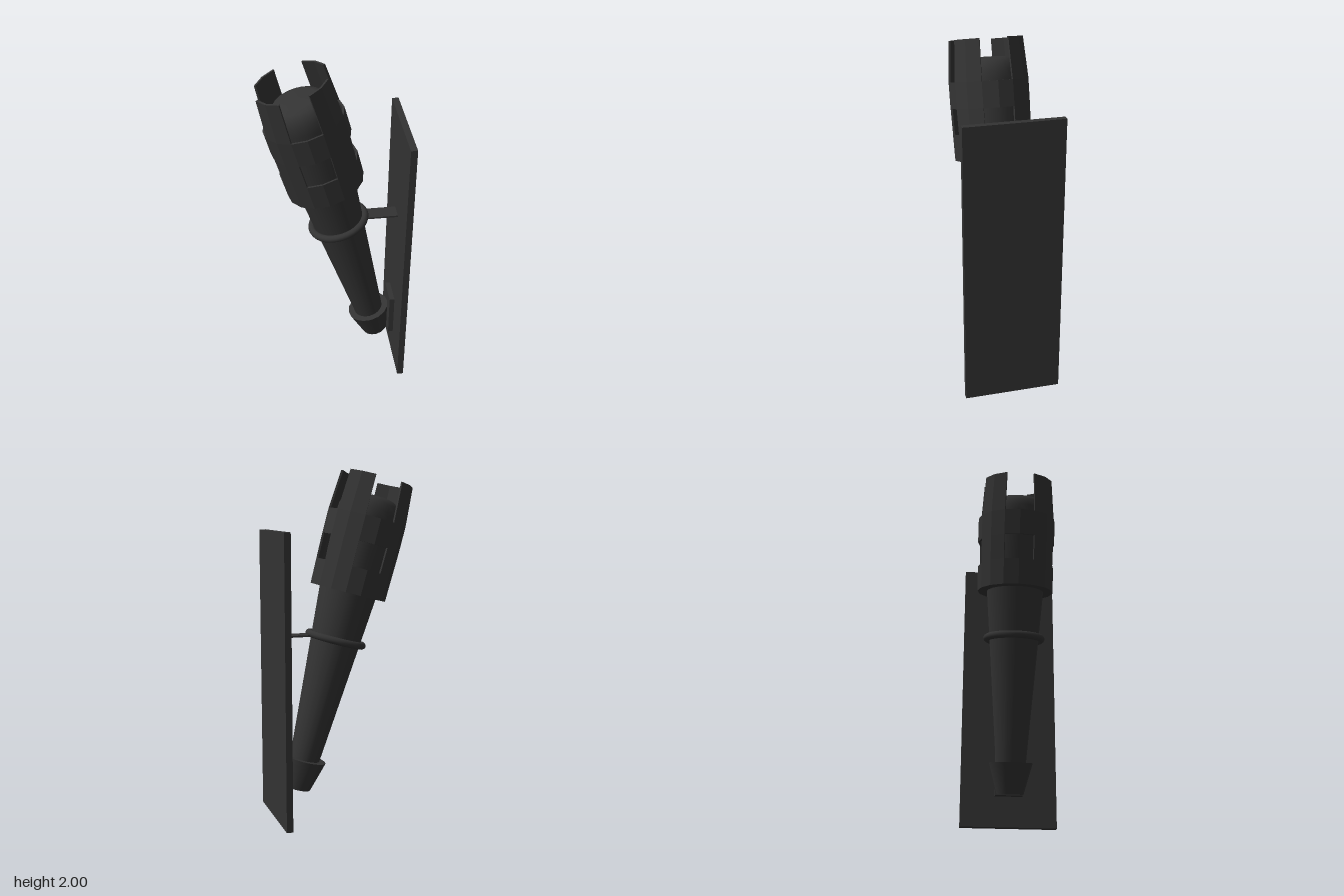
import * as THREE from 'three';

const smooth = new THREE.MeshStandardMaterial({ color: 0x333333, side: THREE.DoubleSide });
const faceted = smooth.clone();
faceted.flatShading = true;

function add(parent, name, geometry, material = faceted) {
  const mesh = new THREE.Mesh(geometry, material);
  mesh.name = name;
  parent.add(mesh);
  return mesh;
}

// Box given by its two extreme corners
function box(parent, name, [x0, y0, z0], [x1, y1, z1]) {
  const mesh = add(parent, name, new THREE.BoxGeometry(x1 - x0, y1 - y0, z1 - z0));
  mesh.position.set((x0 + x1) / 2, (y0 + y1) / 2, (z0 + z1) / 2);
}

// Thin curved wall between two heights, with closed ends when it is not a full ring
function wall(parent, name, y0, y1, r0, r1, start = 0, steps = 16) {
  const t = 0.012, step = Math.PI / 8;
  const profile = [[r0, y0], [r1, y1], [r1 - t, y1], [r0 - t, y0], [r0, y0]]
    .map(([x, y]) => new THREE.Vector2(x, y));
  add(parent, name, new THREE.LatheGeometry(profile, steps, start * step, steps * step));
  if (steps === 16) return;
  for (const i of [start, start + steps]) {
    const end = add(parent, name + 'End', new THREE.ShapeGeometry(new THREE.Shape(profile.slice(0, 4))));
    end.rotation.y = i * step - Math.PI / 2;
  }
}

export function createModel() {
  const model = new THREE.Group();
  model.name = 'wallTorch';

  // Wall panel and its fixings
  box(model, 'backPlate', [0.373, 0, -0.28], [0.41, 1.66, 0.28]);
  box(model, 'lowerBracket', [0.343, 0.18, -0.08], [0.375, 0.45, 0.08]);
  box(model, 'ringStrap', [0.18, 1.06, -0.045], [0.375, 1.07, 0.045]);

  // Everything on the leaning axis
  const torch = new THREE.Group();
  torch.name = 'torch';
  torch.position.set(0.27, 0.165, 0);
  torch.rotation.z = THREE.MathUtils.degToRad(15.3);
  model.add(torch);

  // Holder cup
  const cup = add(torch, 'holderCup', new THREE.CylinderGeometry(0.126, 0.077, 0.178, 16), smooth);
  cup.position.y = 0.089;

  // Tapered shaft
  const shaft = add(torch, 'shaft', new THREE.CylinderGeometry(0.168, 0.081, 1.1, 20), smooth);
  shaft.position.y = 0.65;

  // Rounded head inside the crown
  const head = [[0.166, 1.18], [0.176, 1.4], [0.18, 1.62], [0.176, 1.67], [0.162, 1.71],
    [0.138, 1.735], [0.105, 1.746], [0, 1.75]].map(([x, y]) => new THREE.Vector2(x, y));
  add(torch, 'head', new THREE.LatheGeometry(head, 20), smooth);

  // Support ring
  const ring = add(torch, 'supportRing', new THREE.TorusGeometry(0.159, 0.021, 10, 32), smooth);
  ring.rotation.x = Math.PI / 2;
  ring.position.y = 0.9;

  // Crown: two bands, window posts between them, prongs on top
  const crown = new THREE.Group();
  crown.name = 'crown';
  torch.add(crown);
  const floor = add(crown, 'crownFloor', new THREE.RingGeometry(0.16, 0.22, 16));
  floor.rotation.x = Math.PI / 2;
  floor.position.y = 1.18;
  wall(crown, 'lowerBand', 1.18, 1.328, 0.222, 0.225);
  wall(crown, 'upperBand', 1.474, 1.62, 0.228, 0.228);
  for (let i = 0; i < 4; i++) {
    wall(crown, 'windowPost', 1.328, 1.474, 0.225, 0.228, 1 + i * 4, 2);
    wall(crown, 'prong', 1.62, 1.85, 0.228, 0.211, 1 + i * 4, 2);
  }
  return model;
}
